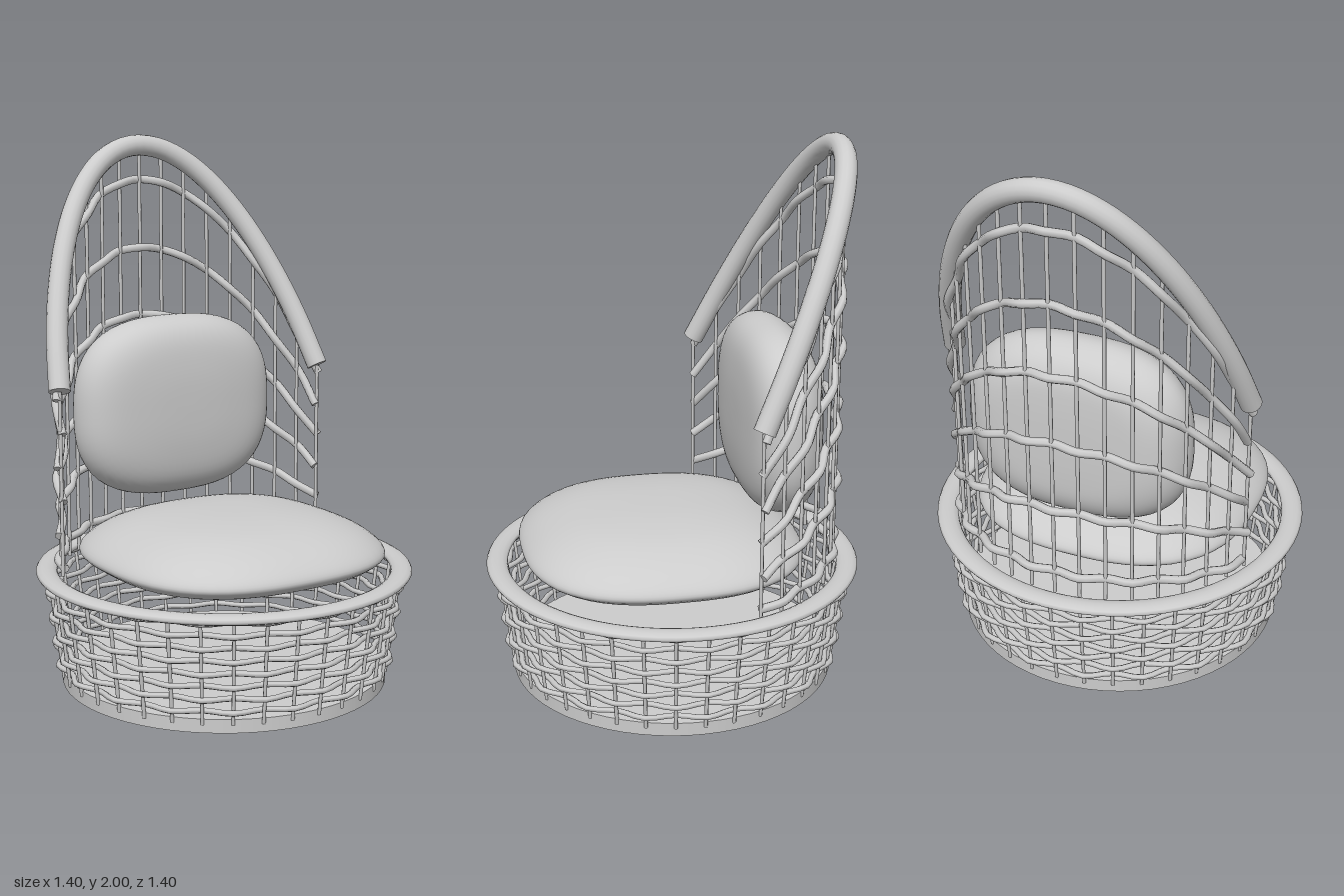
import * as THREE from 'three';
import { mergeVertices } from 'three/addons/utils/BufferGeometryUtils.js';

const material = new THREE.MeshStandardMaterial({ color: 0xcccccc });
material.name = 'light grey';

const ROWS = 8, STAKES = 36;           // basket weave
const BACK_R = 0.605, BACK_N = 8;      // back curve radius, stakes per side
const BACK_ANGLE = THREE.MathUtils.degToRad(70.5);

function add(parent, name, geometry) {
  const mesh = new THREE.Mesh(geometry, material);
  mesh.name = name;
  parent.add(mesh);
  return mesh;
}

function group(parent, name) {
  const g = new THREE.Group();
  g.name = name;
  parent.add(g);
  return g;
}

// Round cane through points, with flat end caps when open
function cane(parent, name, points, radius, segments, sides, closed = false) {
  const curve = new THREE.CatmullRomCurve3(points, closed);
  add(parent, name, new THREE.TubeGeometry(curve, segments, radius, sides, closed));
  if (closed) return;
  for (const t of [0, 1]) {
    const cap = add(parent, name + 'End', new THREE.CircleGeometry(radius, sides));
    const p = curve.getPointAt(t);
    cap.position.copy(p);
    cap.lookAt(p.clone().addScaledVector(curve.getTangentAt(t), t ? 1 : -1));
  }
}

// Straight thin stake between two points
function stake(parent, name, a, b, radius) {
  add(parent, name, new THREE.TubeGeometry(new THREE.LineCurve3(a, b), 1, radius, 6));
}

// Point at an angle around the axis, 0 being the back
const polar = (angle, r, y) => new THREE.Vector3(r * Math.sin(angle), y, -r * Math.cos(angle));

// Cushion: profile of [relative width, height] swept round a soft square outline
function cushion(parent, name, profile, halfX, halfZ, power) {
  const spline = new THREE.SplineCurve(profile.map(([s, h]) => new THREE.Vector2(s, h)));
  const pts = spline.getPoints(36);
  pts.forEach(p => { p.x = Math.max(0, p.x); });
  let geo = new THREE.LatheGeometry(pts, 64);
  const pos = geo.attributes.position;
  for (let i = 0; i < pos.count; i++) {
    const x = pos.getX(i), z = pos.getZ(i), r = Math.hypot(x, z);
    if (r < 1e-6) continue;
    const k = Math.pow(Math.pow(Math.abs(x / r), power) + Math.pow(Math.abs(z / r), power), -1 / power);
    pos.setX(i, x * k * halfX);
    pos.setZ(i, z * k * halfZ);
  }
  geo.deleteAttribute('uv');
  geo.deleteAttribute('normal');
  geo = mergeVertices(geo, 1e-5);
  geo.computeVertexNormals();
  return add(parent, name, geo);
}

export function createModel() {
  const model = new THREE.Group();
  model.name = 'wickerChair';

  // Solid base disc
  add(model, 'baseDisc', new THREE.CylinderGeometry(0.608, 0.608, 0.05, 64)).position.y = 0.025;

  // Basket: flaring stakes with woven rings
  const basket = group(model, 'basket');
  const basketR = y => 0.603 + 0.125 * y;
  for (let i = 0; i < STAKES; i++) {
    const a = (i / STAKES) * Math.PI * 2;
    stake(basket, 'basketStake', polar(a, basketR(0.03), 0.03), polar(a, basketR(0.425), 0.425), 0.007);
  }
  for (let row = 0; row < ROWS; row++) {
    const y = 0.078 + row * 0.047, pts = [];
    for (let i = 0; i < STAKES; i++) {
      const wave = (i + row) % 2 ? 0.014 : -0.014;
      pts.push(polar((i / STAKES) * Math.PI * 2, basketR(y) + wave, y));
    }
    cane(basket, 'basketRing', pts, 0.011, STAKES * 3, 6, true);
  }

  // Flattened rim
  const rim = add(model, 'rim', new THREE.TorusGeometry(0.66, 0.04, 12, 72).rotateX(Math.PI / 2).scale(1, 0.45, 1));
  rim.position.y = 0.423;

  // Backrest: heights rise linearly toward the back
  const back = group(model, 'backrest');
  const zEnd = Math.cos(BACK_ANGLE);
  const rise = (angle, low, high) => low + (high - low) * (Math.cos(angle) - zEnd) / (1 - zEnd);
  const frameY = angle => rise(angle, 1.105, 1.962);

  const framePts = [];
  for (let i = -BACK_N; i <= BACK_N; i++) {
    const a = (i / BACK_N) * BACK_ANGLE;
    framePts.push(polar(a, BACK_R, frameY(a)));
    stake(back, 'backStake', polar(a, BACK_R, 0.42), polar(a, BACK_R, frameY(a)), 0.007);
  }
  cane(back, 'backFrame', framePts, 0.04, 64, 16);

  // Woven strands across the back
  for (let k = 0; k < 6; k++) {
    const pts = [];
    for (let i = -BACK_N; i <= BACK_N; i++) {
      const a = (i / BACK_N) * BACK_ANGLE;
      const wave = (i + k + BACK_N) % 2 ? 0.012 : -0.008;
      pts.push(polar(a, BACK_R + wave, rise(a, 0.447 + 0.125 * k, 0.51 + 0.264 * k)));
    }
    cane(back, 'backStrand', pts, 0.016, 64, 7);
  }

  // Seat cushion, domed with a low edge
  cushion(model, 'seatCushion', [
    [0, 0.445], [0.5, 0.445], [0.85, 0.452], [0.96, 0.475], [1, 0.502],
    [0.95, 0.54], [0.82, 0.585], [0.6, 0.626], [0.3, 0.647], [0, 0.651],
  ], 0.53, 0.52, 2.6).position.z = 0.05;

  // Back cushion, upright
  const backCushion = cushion(model, 'backCushion', [
    [0, -0.142], [0.4, -0.14], [0.7, -0.128], [0.9, -0.085], [1, -0.01],
    [0.94, 0.07], [0.75, 0.118], [0.4, 0.138], [0, 0.142],
  ], 0.42, 0.345, 2.7);
  backCushion.rotation.x = Math.PI / 2;
  backCushion.position.set(0, 0.983, -0.364);

  return model;
}
